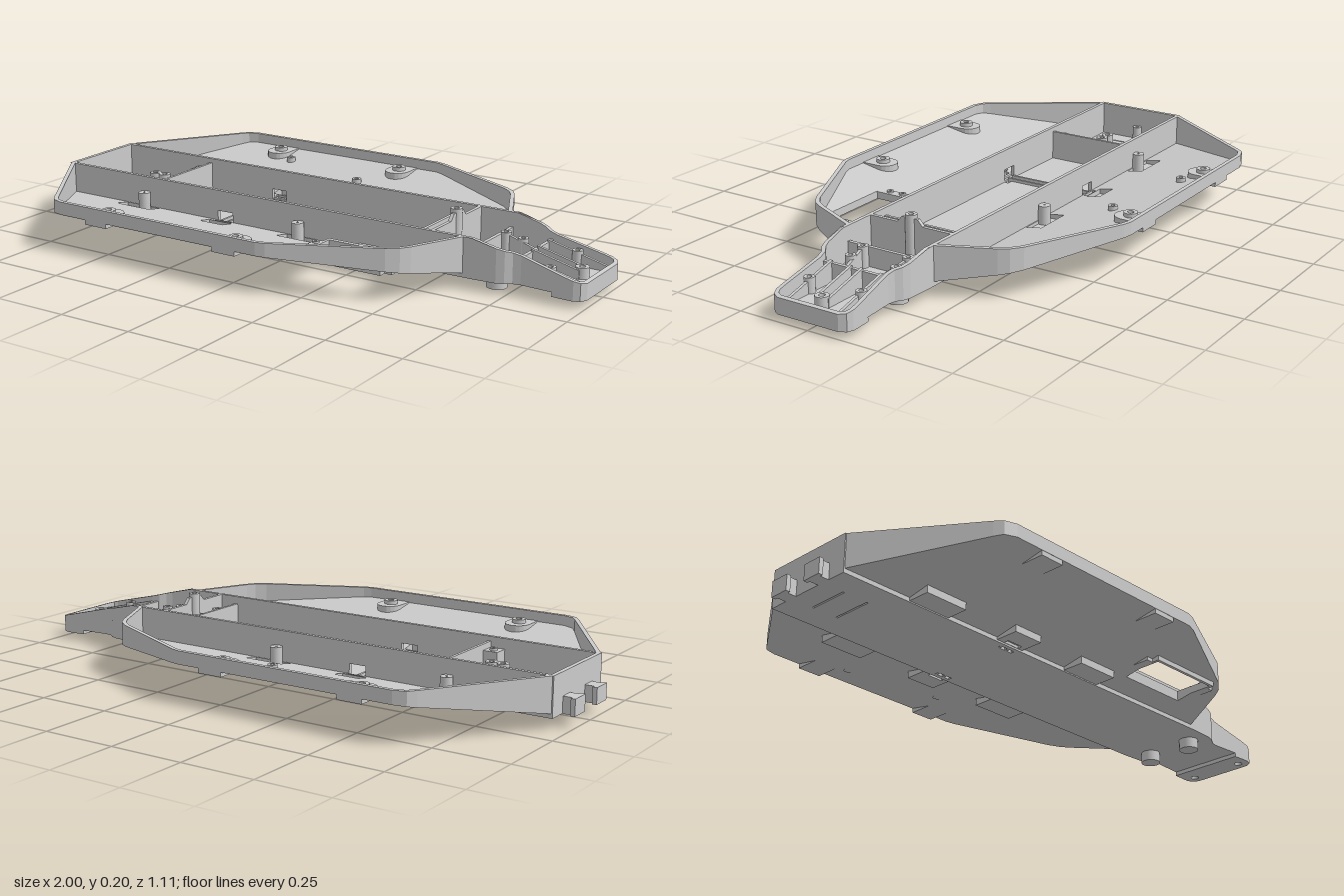
import * as THREE from 'three';

const mat = new THREE.MeshStandardMaterial({ color: 0xcccccc, side: THREE.DoubleSide });
const TOP = 0.165, BASE = 0.036, HALF = 0.163, T = 0.013;
// underside of the wings climbs outward; nose walls fall toward the tip
const wingY = (x, z) => 0.05 + 0.183 * (Math.abs(z) - 0.16);
const noseY = x => Math.min(TOP, TOP - 0.25 * (x - 0.64));
const fn = v => (typeof v === 'function' ? v : () => v);
const rect = (x0, x1, z0, z1) => [[x0, z0], [x1, z0], [x1, z1], [x0, z1]];
const flip = (pts, s) => pts.map(([x, z]) => [x, z * s]);
const circle = (x, z, r, n = 16) => Array.from({ length: n }, (_, i) =>
  [x + r * Math.cos(i / n * 2 * Math.PI), z + r * Math.sin(i / n * 2 * Math.PI)]);

// plan outline (x, z) raised between two height rules
function plate(name, pts, y0, y1, holes = []) {
  const vec = p => p.map(([x, z]) => new THREE.Vector2(x, -z));
  const shape = new THREE.Shape(vec(pts));
  shape.holes = holes.map(h => new THREE.Path(vec(h)));
  const g = new THREE.ExtrudeGeometry(shape, { depth: 1, bevelEnabled: false });
  g.rotateX(-Math.PI / 2);
  const p = g.attributes.position, lo = fn(y0), hi = fn(y1);
  for (let i = 0; i < p.count; i++) {
    const x = p.getX(i), z = p.getZ(i);
    p.setY(i, p.getY(i) < 0.5 ? lo(x, z) : hi(x, z));
  }
  g.computeVertexNormals();
  const m = new THREE.Mesh(g, mat);
  m.name = name;
  return m;
}

// open line offset sideways by d, with mitred corners
function inset(pts, d) {
  const normal = (a, b) => {
    const l = Math.hypot(b[0] - a[0], b[1] - a[1]);
    return [(b[1] - a[1]) / l, -(b[0] - a[0]) / l];
  };
  return pts.map((p, i) => {
    const a = normal(pts[Math.max(i - 1, 0)], pts[Math.max(i, 1)]);
    const b = i < pts.length - 1 ? normal(p, pts[i + 1]) : a;
    const k = d / (1 + a[0] * b[0] + a[1] * b[1]);
    return [p[0] + (a[0] + b[0]) * k, p[1] + (a[1] + b[1]) * k];
  });
}

// round post with a screw bore sunk from the top
function post(name, x, z, y0, y1, r, bore = r * 0.45) {
  const floor = Math.max(y0, y1 - 0.03);
  const prof = [[0, y0], [r, y0], [r, y0], [r, y1], [r, y1], [bore, y1], [bore, y1], [bore, floor], [bore, floor], [0, floor]];
  const g = new THREE.LatheGeometry(prof.map(p => new THREE.Vector2(...p)), 20);
  const m = new THREE.Mesh(g, mat);
  m.position.set(x, 0, z);
  m.name = name;
  return m;
}

// upright rib between two plan points
function rib(name, a, b, y0, y1, t = 0.008) {
  const dx = b[0] - a[0], dz = b[1] - a[1], l = Math.hypot(dx, dz);
  const nx = -dz / l * t / 2, nz = dx / l * t / 2;
  return plate(name, [[a[0] + nx, a[1] + nz], [b[0] + nx, b[1] + nz], [b[0] - nx, b[1] - nz], [a[0] - nx, a[1] - nz]], y0, y1);
}

function wing(s) {
  const g = new THREE.Group();
  g.name = s > 0 ? 'frontWing' : 'backWing';
  const edge = [[-0.953, 0.16], [-0.71, 0.515], [-0.69, 0.54], [-0.65, 0.553], [0.12, 0.553], [0.15, 0.545],
    [0.475, 0.392], [0.51, 0.365], [0.53, 0.335], [0.612, 0.16]];
  const pockets = [[-0.695, -0.555], [-0.03, 0.11]];
  const holes = pockets.map(([a, b]) => rect(a, b, 0.168, 0.225));
  holes.push(rect(-0.335, -0.235, 0.168, 0.235));
  if (s > 0) holes.push(rect(0.18, 0.445, 0.24, 0.375));
  const add = (name, pts, lo, hi, hs = []) => g.add(plate(name, flip(pts, s), lo, hi, hs.map(h => flip(h, s))));
  const floorTop = (x, z) => wingY(x, z) + 0.012;
  add('wingFloor', edge, wingY, floorTop, holes);
  add('wingRim', [...edge, ...inset(edge, 0.014).reverse()], wingY, TOP);

  // sunken pockets with a post each
  for (const [a, b] of pockets) {
    const rim = rect(a - 0.008, b + 0.008, 0.15, 0.24);
    add('pocketFloor', rim, 0.04, 0.052);
    add('pocketWall', rim, 0.04, floorTop, [rect(a, b, 0.16, 0.225)]);
    g.add(post('pocketPost', (a + b) / 2 + (a < -0.5 ? 0.015 : -0.02), 0.18 * s, 0.045, 0.115, 0.02, 0.004));
  }
  // strap bracket beside the tub
  add('strapBracket', rect(-0.34, -0.23, 0.16, 0.245), 0.042, floorTop, [rect(-0.31, -0.25, 0.165, 0.182), rect(-0.33, -0.24, 0.186, 0.236)]);
  add('strapBracketFloor', rect(-0.335, -0.235, 0.184, 0.24), 0.042, 0.05);

  // rounded screw pads against the rim
  for (const x of [-0.505, 0]) {
    const arc = Array.from({ length: 11 }, (_, i) => [x + 0.043 * Math.cos(Math.PI * i / 10), 0.475 - 0.043 * Math.sin(Math.PI * i / 10)]);
    add('screwPad', [...arc, [x - 0.043, 0.552], [x + 0.043, 0.552]], 0.106, 0.134);
    g.add(post('screwBoss', x, 0.485 * s, 0.11, 0.147, 0.023));
  }
  if (s > 0) {
    // flat frame around the opening
    const opening = rect(0.18, 0.445, 0.24, 0.375);
    const frame = [[0.145, 0.26], [0.17, 0.26], [0.17, 0.225], [0.455, 0.225], [0.455, 0.26], [0.48, 0.26],
      [0.48, 0.36], [0.455, 0.36], [0.455, 0.385], [0.17, 0.385], [0.17, 0.36], [0.145, 0.36]];
    add('openingFrame', frame, 0.075, 0.1, [opening]);
    add('frameShelf', rect(0.245, 0.5, 0.155, 0.238), 0.066, 0.08);
    for (const x of [0.16, 0.465]) for (const z of [0.285, 0.335]) g.add(post('frameBoss', x, z, 0.08, 0.106, 0.011));
  } else {
    for (const [x, z] of [[-0.43, -0.44], [-0.1, -0.365]]) g.add(post('smallBoss', x, z, wingY(x, z), wingY(x, z) + 0.027, 0.016));
  }
  return g;
}

function tub() {
  const g = new THREE.Group();
  g.name = 'tub';
  const slots = [1, -1].map(s => flip(rect(-0.31, -0.25, 0.135, 0.148), s));
  const lines = [-0.875, -0.785].map(x => rect(x - 0.003, x + 0.003, -0.07, 0.07));
  g.add(plate('tubFloor', rect(-0.955, 0.63, -HALF, HALF), BASE, BASE + 0.014, [...slots, ...lines]));
  // side walls with a strap window
  const side = new THREE.Shape([[-0.955, BASE], [0.63, BASE], [0.63, TOP], [-0.955, TOP]].map(p => new THREE.Vector2(...p)));
  side.holes.push(new THREE.Path([[-0.31, 0.055], [-0.25, 0.055], [-0.25, 0.095], [-0.31, 0.095]].map(p => new THREE.Vector2(...p))));
  for (const s of [1, -1]) {
    const wall = new THREE.Mesh(new THREE.ExtrudeGeometry(side, { depth: T, bevelEnabled: false }), mat);
    wall.position.z = s > 0 ? HALF - T : -HALF;
    wall.name = 'tubSideWall';
    g.add(wall);
    // end hooks, corner ribs and blocks
    g.add(plate('endHook', flip([[-0.95, 0.05], [-0.985, 0.05], [-0.985, 0.04], [-1, 0.04], [-1, 0.108], [-0.985, 0.108], [-0.985, 0.098], [-0.95, 0.098]], s), 0.036, 0.09));
    g.add(plate('mountBlock', flip(rect(-0.63, -0.58, 0.1, 0.152), s), 0.045, 0.13));
    g.add(post('mountBlockBoss', -0.605, 0.122 * s, 0.12, 0.138, 0.012));
    // zigzag bracing
    for (const [a, b] of [[[0.43, 0.15], [0.495, 0.1]], [[0.495, 0.1], [0.43, 0.06]], [[0.43, 0.06], [0.495, 0]]])
      g.add(rib('braceRib', ...flip([a, b], s), BASE, 0.125));
  }
  g.add(rib('endWall', [-0.948, -HALF], [-0.948, HALF], BASE, TOP, 0.014));
  g.add(rib('partition', [-0.575, -HALF], [-0.575, HALF], BASE, 0.15, 0.01));
  for (const x of [-0.305, -0.275]) g.add(rib('strapRail', [x, -0.15], [x, 0.15], BASE, 0.06));
  for (const x of [-0.705, -0.665]) g.add(post('servoPost', x, 0, BASE, 0.13, 0.02));
  g.add(post('endPost', -0.93, 0, BASE, 0.1, 0.016));
  // bulkheads and the tall centre post
  g.add(rib('bulkhead', [0.43, -HALF], [0.43, HALF], BASE, 0.14, 0.01));
  g.add(rib('bulkhead', [0.5, -HALF], [0.5, HALF], BASE, TOP, 0.012));
  const gusset = new THREE.Shape([[-0.052, 0.16], [0.052, 0.16], [0.03, 0.185], [-0.03, 0.185]].map(p => new THREE.Vector2(...p)));
  const crest = new THREE.Mesh(new THREE.ExtrudeGeometry(gusset, { depth: 0.012, bevelEnabled: false }), mat);
  crest.rotation.y = Math.PI / 2;
  crest.position.x = 0.494;
  crest.name = 'bulkheadCrest';
  g.add(crest, post('centrePost', 0.498, 0, BASE, 0.197, 0.019));
  g.add(rib('noseBulkhead', [0.615, -HALF], [0.615, HALF], BASE, 0.115, 0.012));
  return g;
}

function nose() {
  const g = new THREE.Group();
  g.name = 'nose';
  const half = [[0.62, HALF], [0.64, HALF], [0.72, 0.158], [0.745, 0.15], [0.765, 0.135], [0.79, 0.13],
    [0.94, 0.14], [0.965, 0.14], [0.985, 0.132], [0.997, 0.11]];
  const outline = [...half, ...flip(half, -1).reverse()];
  const inner = inset(half, 0.013).map(([x, z]) => [Math.max(x, 0.621), z]);
  inner[inner.length - 1] = [0.984, 0.106];
  const bores = [1, -1].map(s => circle(0.96, 0.1 * s, 0.014));
  g.add(plate('noseFloor', outline, BASE, 0.05, bores));
  g.add(plate('noseWall', [...half, ...flip(half, -1).reverse(), ...flip(inner, -1), ...[...inner].reverse()], BASE, noseY));
  const tip = half.filter(p => p[0] > 0.9);
  const pad = [[0.895, 0.137], ...tip];
  g.add(plate('tipPad', [...pad, ...flip(pad, -1).reverse()], 0.022, 0.04, bores));
  g.add(rib('crossRib', [0.77, -0.13], [0.77, 0.13], BASE, 0.11, 0.012));
  for (const s of [1, -1]) {
    const line = (a, b, name, lift) => g.add(rib(name, ...flip([a, b], s), BASE, x => noseY(x) - lift, 0.01));
    line([0.77, 0.093], [0.985, 0.093], 'outerRail', 0.015);
    line([0.77, 0.02], [0.93, 0.02], 'innerRail', 0.015);
    line([0.63, 0.085], [0.77, 0.06], 'rearRail', 0.05);
    for (const [x, z, y] of [[0.63, 0.085, 0.12], [0.69, 0.085, 0.11], [0.87, 0.095, 0.1]])
      g.add(post('nosePost', x, z * s, BASE, y, 0.017));
    // feet under the nose
    g.add(post('foot', 0.69, 0.087 * s, 0, 0.045, 0.033, 0.002));
  }
  g.add(post('tipPost', 0.93, 0, BASE, 0.085, 0.022));
  return g;
}

export function createModel() {
  const model = new THREE.Group();
  model.name = 'chassis';
  model.add(tub(), nose(), wing(1), wing(-1));
  return model;
}
